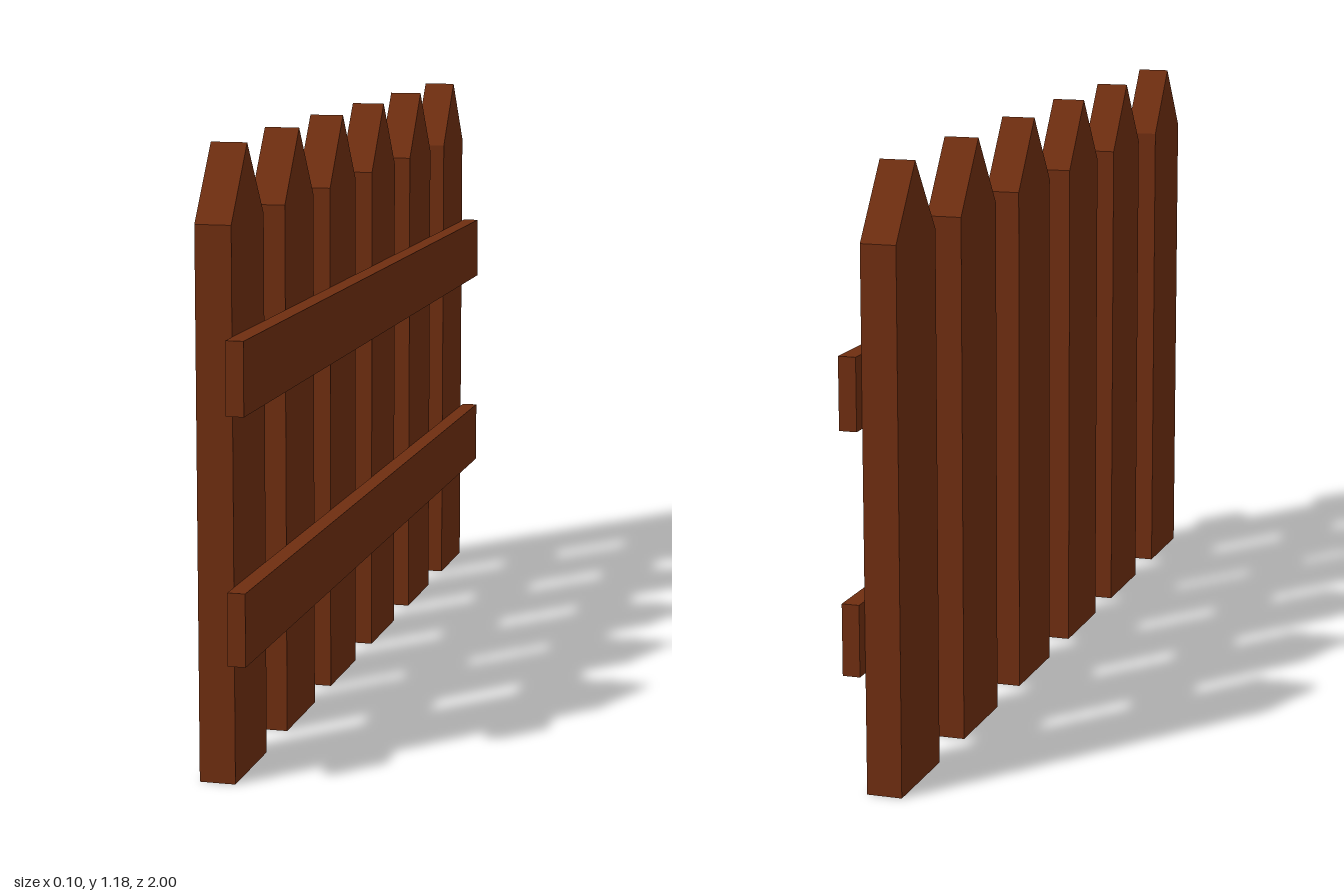
import * as THREE from 'three';

const BACK = -0.052, JOINT = 0.017, FRONT = 0.051; // x of picket back, picket/rail contact, rail face

export function createModel() {
  const fence = new THREE.Group();
  fence.name = 'picketFence';
  const wood = new THREE.MeshStandardMaterial({ color: 0x6e2d10, flatShading: true });

  // Pointed picket: outline extruded through its thickness, then turned to face x
  const half = 0.103, shoulder = 1.04, tip = 1.18;
  const outline = new THREE.Shape([
    new THREE.Vector2(-half, 0),
    new THREE.Vector2(half, 0),
    new THREE.Vector2(half, shoulder),
    new THREE.Vector2(0, tip),
    new THREE.Vector2(-half, shoulder),
  ]);
  const picketGeometry = new THREE.ExtrudeGeometry(outline, { depth: JOINT - BACK, bevelEnabled: false });
  picketGeometry.rotateY(-Math.PI / 2).translate(JOINT, 0, 0);

  [0.855, 0.506, 0.174, -0.172, -0.521, -0.869].forEach((z, i) => {
    const picket = new THREE.Mesh(picketGeometry, wood);
    picket.name = `picket${i + 1}`;
    picket.position.z = z;
    fence.add(picket);
  });

  // Two horizontal rails along the full length
  const railGeometry = new THREE.BoxGeometry(FRONT - JOINT, 0.138, 2);
  for (const [name, y] of [['lowerRail', 0.306], ['upperRail', 0.769]]) {
    const rail = new THREE.Mesh(railGeometry, wood);
    rail.name = name;
    rail.position.set((JOINT + FRONT) / 2, y, 0);
    fence.add(rail);
  }

  return fence;
}
